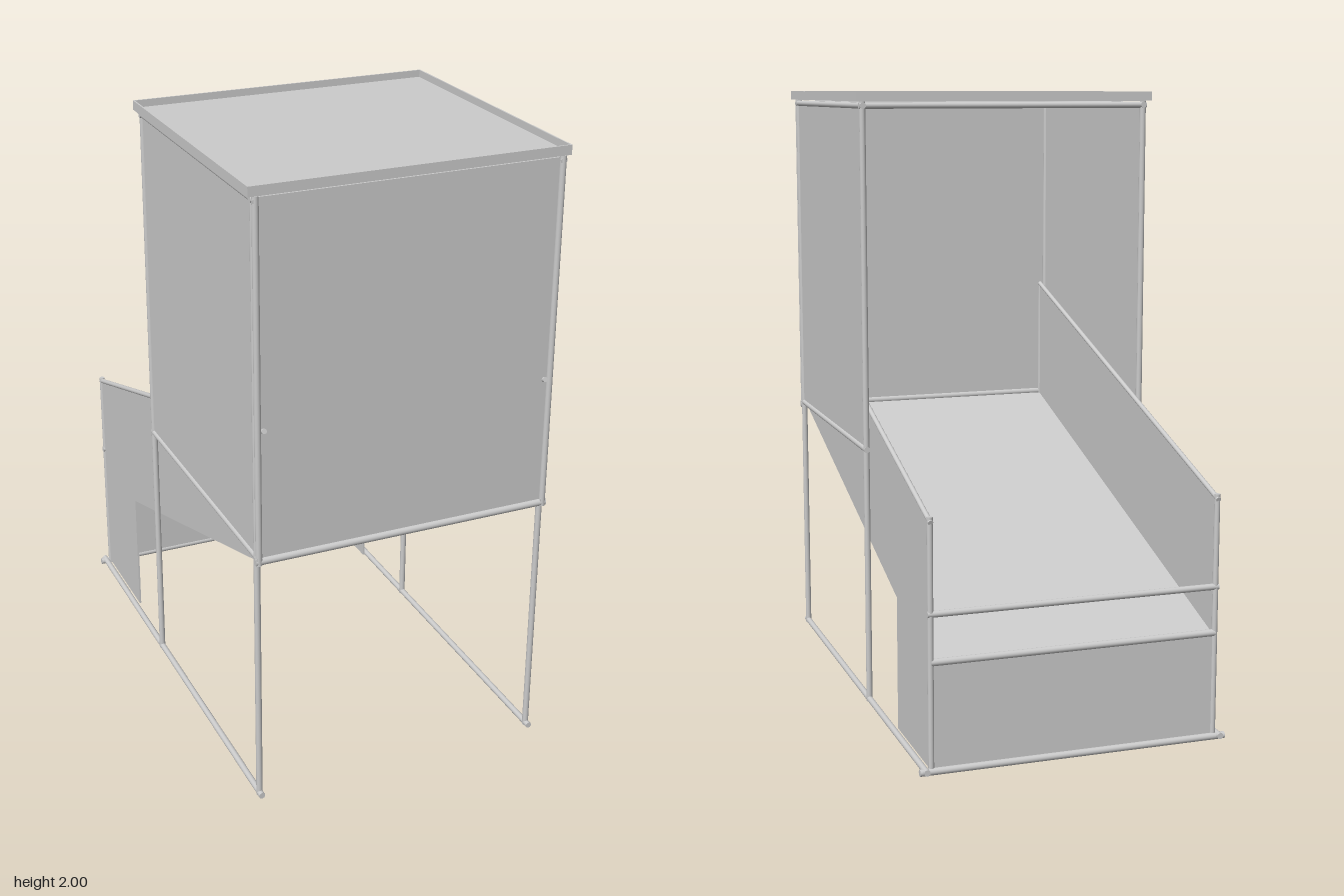
import * as THREE from 'three';

export function createModel() {
  const root = new THREE.Group();
  const mat = new THREE.MeshStandardMaterial({ color: 0xcccccc, side: THREE.DoubleSide });

  const add = (name, geo, x = 0, y = 0, z = 0) => {
    const mesh = new THREE.Mesh(geo, mat);
    mesh.name = name;
    mesh.position.set(x, y, z);
    root.add(mesh);
    return mesh;
  };
  const box = (name, w, h, d, x, y, z) => add(name, new THREE.BoxGeometry(w, h, d), x, y, z);

  // Round tube between two points
  const tube = (name, a, b, r = 0.01) => {
    const from = new THREE.Vector3(...a);
    const to = new THREE.Vector3(...b);
    const dir = to.clone().sub(from);
    const mesh = add(name, new THREE.CylinderGeometry(r, r, dir.length(), 16));
    mesh.position.copy(from).add(to).multiplyScalar(0.5);
    mesh.quaternion.setFromUnitVectors(new THREE.Vector3(0, 1, 0), dir.normalize());
    return mesh;
  };

  // Thin upright or sloping sheet: outline in (z, y), extruded along x
  const sheet = (name, points, width, x) => {
    const shape = new THREE.Shape(points.map(p => new THREE.Vector2(...p)));
    const geo = new THREE.ExtrudeGeometry(shape, { depth: width, bevelEnabled: false });
    geo.translate(0, 0, -width / 2);
    geo.rotateY(-Math.PI / 2);
    return add(name, geo, x);
  };

  const front = 0.789, middle = -0.132, back = -0.79;
  const frameX = 0.476, slideX = 0.458;
  const slideY = z => 0.585 + 0.317 * z; // height of the slide floor
  const railY = z => 1.022 + 0.31 * z; // height of the slide rail

  for (const s of [-1, 1]) {
    // House frame and base runners
    const x = s * frameX;
    tube('frontPost', [x, 0.01, front], [x, 1.97, front]);
    tube('middlePost', [x, 0.01, middle], [x, 1.97, middle]);
    tube('baseRunner', [x, 0.018, 0.812], [x, 0.018, -0.812]);
    tube('lowerSideBar', [x, 0.86, 0.812], [x, 0.86, -0.142]);
    tube('upperSideBar', [x, 1.957, 0.812], [x, 1.957, -0.142]);
    tube('frontPanelUpright', [x, 0.84, 0.805], [x, 1.97, 0.805]);
    box('sideWall', 0.006, 1.11, 0.945, x, 1.412, 0.333);

    // Slide side, its rail, end posts and skirt
    const sx = s * slideX;
    sheet('slideSide', [[0.795, slideY(0.795)], [0.795, railY(0.795)],
      [back, railY(back)], [back, slideY(back)]], 0.006, sx);
    tube('slideRail', [sx, railY(0.812), 0.812], [sx, railY(-0.8), -0.8], 0.008);
    tube('slideTopPost', [sx, 0.84, 0.795], [sx, 1.27, 0.795], 0.008);
    tube('slideEndPost', [sx, 0.01, back], [sx, 0.79, back], 0.009);
    sheet('slideSkirt', [[-0.432, 0.02], [-0.432, slideY(-0.432)],
      [back, slideY(back)], [back, 0.02]], 0.006, sx);
  }

  // Front wall and cross bars
  box('frontWall', 0.94, 1.11, 0.006, 0, 1.41, 0.8);
  tube('frontLowerBar', [-0.487, 0.85, 0.802], [0.487, 0.85, 0.802], 0.012);
  tube('frontUpperBar', [-0.487, 1.957, front], [0.487, 1.957, front]);
  tube('rearUpperBar', [-0.487, 1.957, middle], [0.487, 1.957, middle]);

  // Slide floor, end plate and end bars
  const t = 0.008;
  sheet('slideFloor', [[0.8, slideY(0.8)], [0.8, slideY(0.8) + t],
    [back, slideY(back) + t], [back, slideY(back)]], slideX * 2, 0);
  box('slideEndPlate', slideX * 2, 0.335, 0.006, 0, 0.178, back);
  tube('slideEndBar', [-slideX, 0.35, back], [slideX, 0.35, back], 0.011);
  tube('slideStopBar', [-0.468, 0.497, back], [0.468, 0.497, back]);
  tube('baseCrossBar', [-0.495, 0.015, -0.795], [0.495, 0.015, -0.795], 0.011);

  // Flat roof set inside a raised rim
  const roofZ = 0.33, roofD = 0.962;
  box('roofPanel', 0.995, 0.006, roofD - 0.004, 0, 1.974, roofZ);
  for (const s of [-1, 1]) {
    box('roofSideRim', 0.005, 0.03, roofD, s * 0.4975, 1.985, roofZ);
    box('roofEndRim', 1, 0.03, 0.005, 0, 1.985, roofZ + s * (roofD / 2 - 0.0025));
  }

  return root;
}
